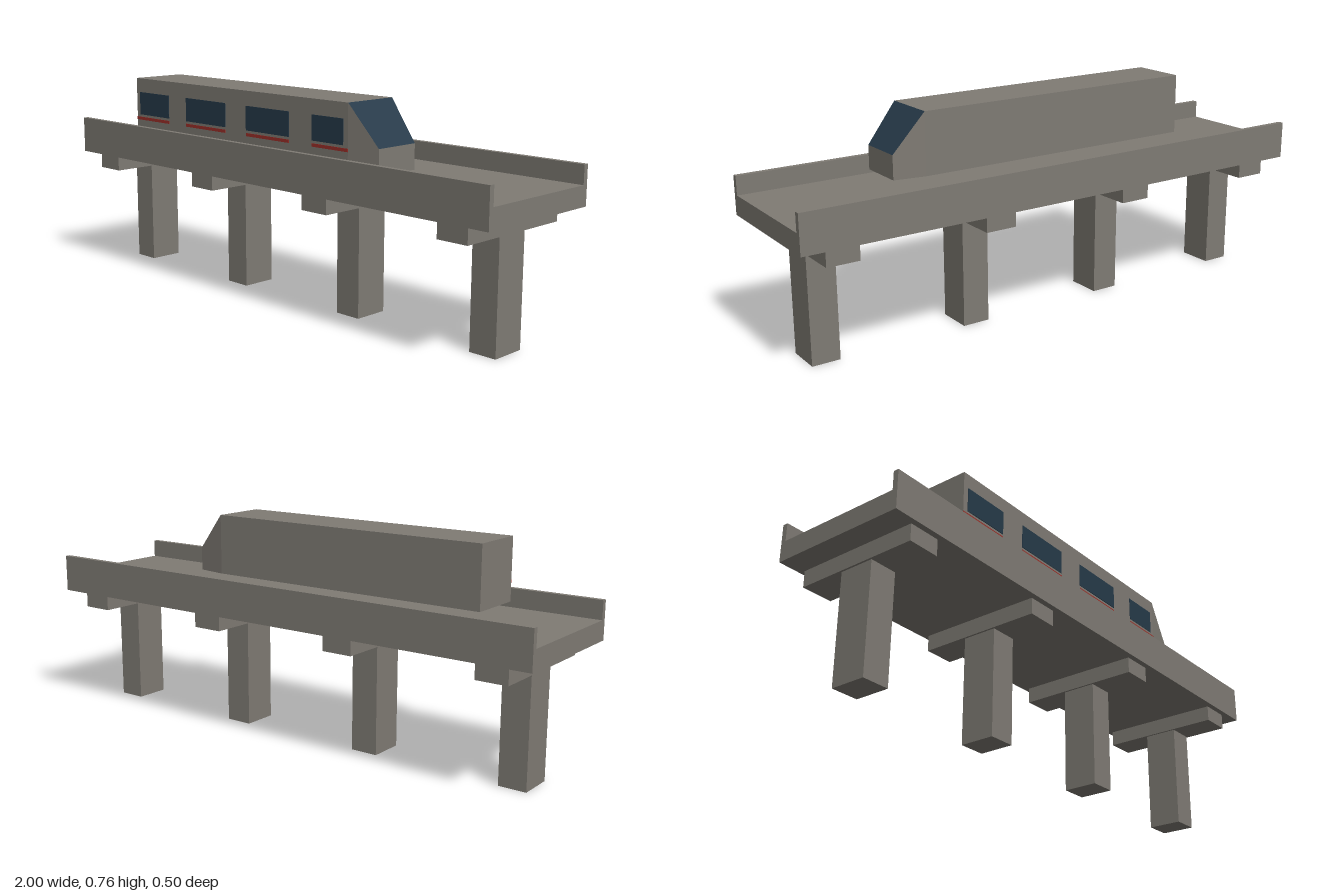
import * as THREE from 'three';

const mat = (name, color) => {
  const m = new THREE.MeshStandardMaterial({ color });
  m.name = name;
  return m;
};

export function createModel() {
  const concrete = mat('warm grey', 0x7f7b74);
  const glass = mat('dark blue glass', 0x263a49);
  const red = mat('red trim', 0x9c2f28);

  const model = new THREE.Group();
  model.name = 'elevatedRailway';

  // Box given by its extents along each axis
  const box = (name, material, [x0, x1], [y0, y1], [z0, z1], parent = model) => {
    const mesh = new THREE.Mesh(new THREE.BoxGeometry(x1 - x0, y1 - y0, z1 - z0), material);
    mesh.position.set((x0 + x1) / 2, (y0 + y1) / 2, (z0 + z1) / 2);
    mesh.name = name;
    parent.add(mesh);
    return mesh;
  };

  // Deck and side parapets
  box('deck', concrete, [-1, 1], [0.445, 0.515], [-0.25, 0.25]);
  box('frontParapet', concrete, [-1, 1], [0.515, 0.58], [0.231, 0.25]);
  box('backParapet', concrete, [-1, 1], [0.515, 0.58], [-0.25, -0.231]);

  // Four piers with crossbeams
  for (let i = 0; i < 4; i++) {
    const x = -0.858 + i * 0.571;
    const pier = new THREE.Group();
    pier.name = 'pier' + (i + 1);
    model.add(pier);
    box('column', concrete, [x - 0.05, x + 0.05], [0, 0.387], [-0.064, 0.064], pier);
    box('crossbeam', concrete, [x - 0.057, x + 0.057], [0.387, 0.445], [-0.229, 0.229], pier);
  }

  // Train body: rectangular sections joined from tail to nose
  const train = new THREE.Group();
  train.name = 'train';
  model.add(train);
  const section = (x, top, z0, z1) => [[x, 0.537, z1], [x, 0.537, z0], [x, top, z0], [x, top, z1]];
  const rings = [
    section(-0.68, 0.759, 0.011, 0.218),
    section(0.425, 0.759, 0.011, 0.218),
    section(0.54, 0.623, 0.029, 0.2),
  ];
  const quads = (name, material, list) => {
    const pos = list.flatMap(([a, b, c, d]) => [a, b, c, a, c, d]).flat();
    const g = new THREE.BufferGeometry();
    g.setAttribute('position', new THREE.Float32BufferAttribute(pos, 3));
    g.computeVertexNormals();
    const mesh = new THREE.Mesh(g, material);
    mesh.name = name;
    train.add(mesh);
  };
  const shell = [];
  let windscreen;
  for (let r = 0; r < 2; r++) {
    for (let k = 0; k < 4; k++) {
      const n = (k + 1) % 4;
      const q = [rings[r][k], rings[r][n], rings[r + 1][n], rings[r + 1][k]];
      if (r === 1 && k === 2) windscreen = q;
      else shell.push(q);
    }
  }
  shell.push(rings[0].slice().reverse(), rings[2]); // tail and nose ends
  quads('trainBody', concrete, shell);
  quads('windscreen', glass, [windscreen]);

  // Side windows, each with a red stripe beneath
  const bays = [
    [-0.66, -0.485, -0.68, -0.485],
    [-0.383, -0.165, -0.383, -0.165],
    [-0.056, 0.157, -0.056, 0.157],
    [0.264, 0.405, 0.264, 0.425],
  ];
  for (const [w0, w1, s0, s1] of bays) {
    box('sideWindow', glass, [w0, w1], [0.622, 0.707], [0.217, 0.22], train);
    box('sideStripe', red, [s0, s1], [0.602, 0.613], [0.217, 0.22], train);
  }

  return model;
}
